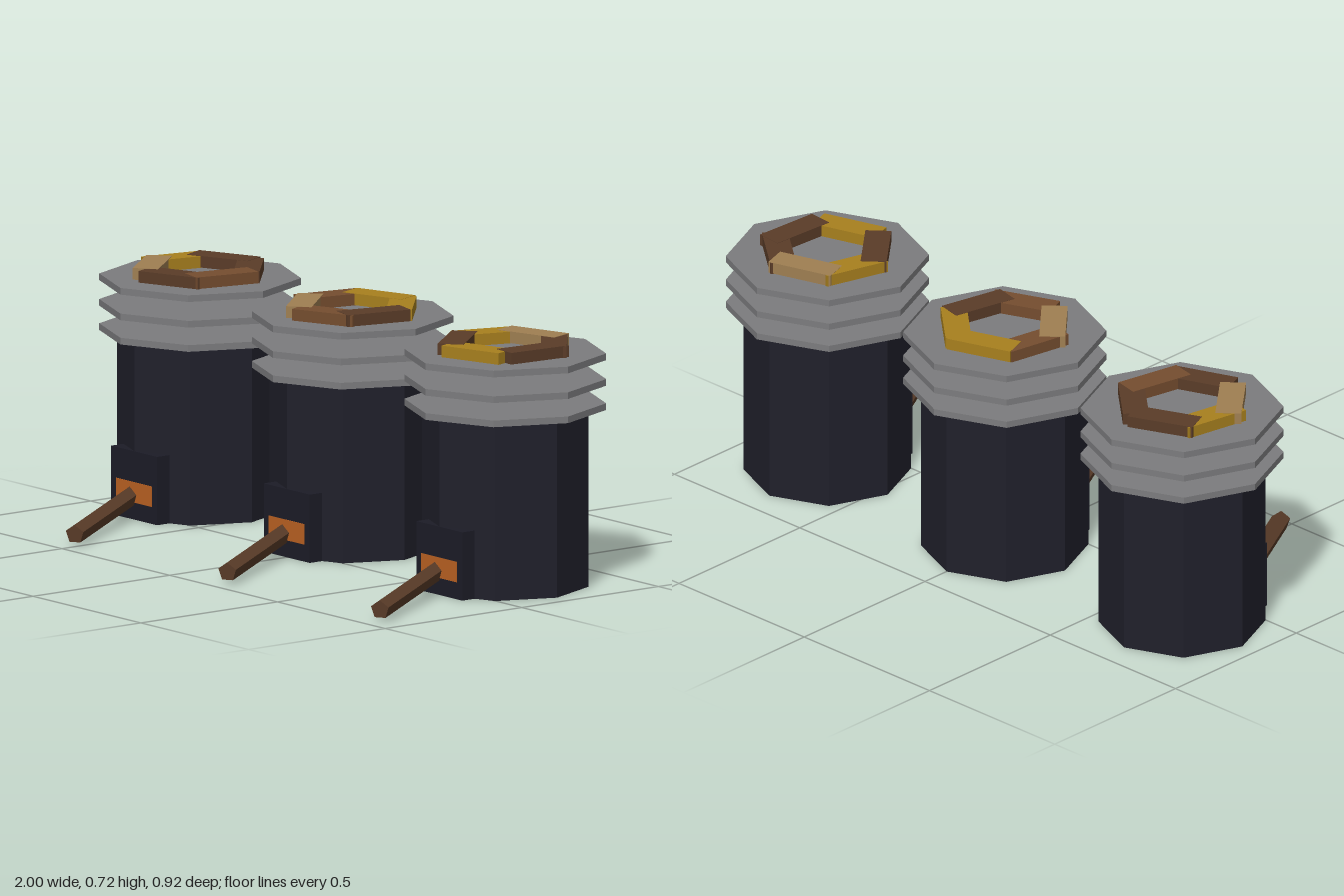
import * as THREE from 'three';

const mat = (name, color) => {
  const m = new THREE.MeshStandardMaterial({ color });
  m.name = name;
  return m;
};

// Faceted cylinder with a crisp normal on every side
const prism = (r, h, sides) => {
  const g = new THREE.CylinderGeometry(r, r, h, sides).toNonIndexed();
  g.computeVertexNormals();
  return g;
};

export function createModel() {
  const iron = mat('darkIron', 0x20202b);
  const doorIron = mat('doorIron', 0x1c1c27);
  const steel = mat('greySteel', 0x7c7c7e);
  const ember = mat('emberOrange', 0xbc6222);
  const brown = mat('darkWood', 0x5a3c28);
  const mid = mat('warmWood', 0x754d2f);
  const tan = mat('paleWood', 0x9f7f52);
  const gold = mat('goldenWood', 0xa8801e);

  const add = (parent, name, geometry, material, x, y, z) => {
    const m = new THREE.Mesh(geometry, material);
    m.name = name;
    m.position.set(x, y, z);
    parent.add(m);
    return m;
  };

  const bodyGeo = prism(0.2405, 0.519, 8);
  const plateGeo = prism(0.292, 0.0195, 8);
  const doorGeo = new THREE.BoxGeometry(0.213, 0.2, 0.06);
  const fireGeo = new THREE.BoxGeometry(0.165, 0.06, 0.004);
  const pieceGeo = new THREE.BoxGeometry(0.075, 0.034, 0.2);
  const rodGeo = prism(0.0285, 0.55, 5).rotateX(-Math.PI / 2).translate(0, 0, -0.275);

  // Bearing (degrees, from +x towards +z) and wood of each ring piece
  const rings = [
    [[12, mid], [69, brown], [140, tan], [191, gold], [247, brown], [312, brown]],
    [[13, brown], [68, mid], [138, tan], [191, mid], [251, gold], [312, gold]],
    [[4, brown], [73, gold], [140, brown], [197, gold], [253, tan], [309, brown]],
  ];

  const model = new THREE.Group();
  model.name = 'stoveRow';

  rings.forEach((ring, i) => {
    const stove = new THREE.Group();
    stove.name = 'stove' + (i + 1);
    stove.position.set((i - 1) * 0.708, 0, -0.17);
    model.add(stove);

    add(stove, 'body', bodyGeo, iron, 0, 0.2595, 0);
    add(stove, 'door', doorGeo, doorIron, 0, 0.1, 0.2115);
    add(stove, 'fireOpening', fireGeo, ember, 0, 0.08, 0.241);

    // Stacked cooling plates
    [0.529, 0.6, 0.675].forEach((y) => add(stove, 'plate', plateGeo, steel, 0, y, 0));

    // Ring of wooden pieces lying on the top plate
    ring.forEach(([deg, wood], j) => {
      const a = THREE.MathUtils.degToRad(deg);
      const y = 0.7025 - (j % 2) * 0.0008;
      const piece = add(stove, 'ringPiece', pieceGeo, wood, 0.14 * Math.cos(a), y, 0.14 * Math.sin(a));
      piece.rotation.y = -a;
    });

    // Log leaning out of the fire opening, its tip near the ground
    const log = add(stove, 'log', rodGeo, brown, 0.2, 0.034, 0.617);
    log.rotation.set(0.073, 0.53, 0, 'YXZ');
  });

  return model;
}
